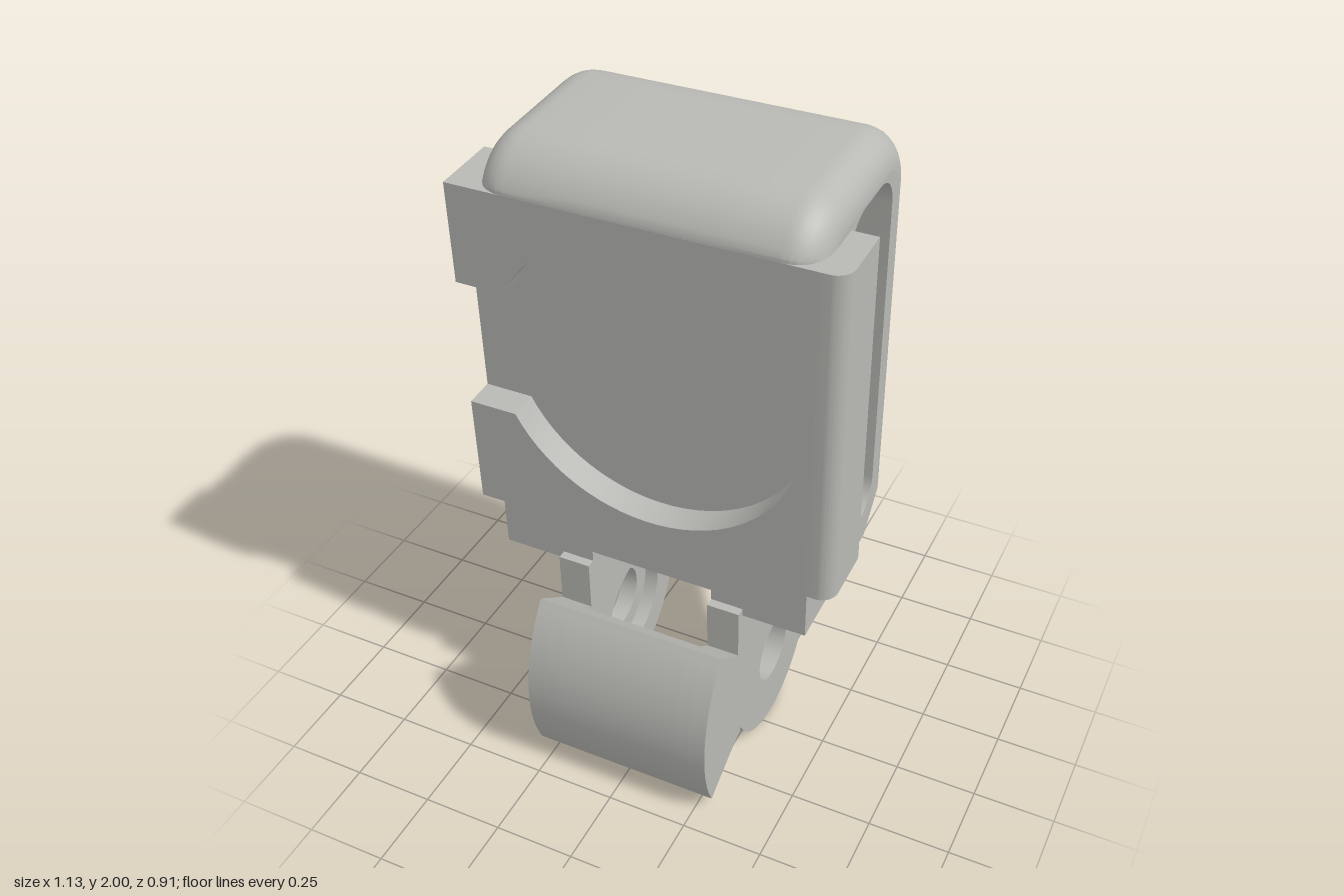
import * as THREE from 'three';
import { toCreasedNormals } from 'three/addons/utils/BufferGeometryUtils.js';

const V = (x, y) => new THREE.Vector2(x, y);
const grey = new THREE.MeshStandardMaterial({ color: 0xb8b8b4, side: THREE.DoubleSide });
grey.name = 'plain grey';

function add(group, name, geometry) {
  const mesh = new THREE.Mesh(toCreasedNormals(geometry, 0.5), grey);
  mesh.name = name;
  group.add(mesh);
  return mesh;
}

// Arc points in a (z, y) plane
function arc(cz, cy, r, a0, a1, n) {
  return Array.from({ length: n + 1 }, (_, i) => {
    const a = a0 + (a1 - a0) * i / n;
    return V(cz + r * Math.cos(a), cy + r * Math.sin(a));
  });
}

// Extrude a (z, y) shape along x, from x0 to x1
function extrudeX(shape, x0, x1) {
  const g = new THREE.ExtrudeGeometry(shape, { depth: x1 - x0, bevelEnabled: false, curveSegments: 48 });
  return g.rotateY(-Math.PI / 2).translate(x1, 0, 0);
}

// Skin between closed (z, y) rings placed at successive x positions
function loft(rings) {
  const pos = [], idx = [], n = rings[0].pts.length;
  rings.forEach(r => r.pts.forEach(p => pos.push(r.x, p.y, p.x)));
  for (let i = 0; i < rings.length - 1; i++) {
    for (let j = 0; j < n; j++) {
      const a = i * n + j, b = i * n + (j + 1) % n;
      idx.push(a, a + n, b + n, a, b + n, b);
    }
  }
  const g = new THREE.BufferGeometry();
  g.setAttribute('position', new THREE.Float32BufferAttribute(pos, 3));
  g.setIndex(idx);
  return g;
}

// Side profile of the housing; inset t rounds its ends, bottom b forms the groove
function profile(t, b) {
  const backZ = b > 0.65 ? -0.415 : -0.30, r = 0.19 - t, a0 = 0.44;
  return [
    V(0.05, b), V(0.05, 1.83), V(r * Math.cos(a0), 1.86),
    ...arc(0, 1.80, r, a0, Math.PI / 2, 10),
    ...arc(-0.30, 1.80, r, Math.PI / 2, Math.PI, 12),
    V(-0.49 + t, 0.74), V(backZ, b),
  ];
}

function slotRing() {
  const r = 0.1, f = -0.035 - r, k = -0.345 + r, lo = 0.735 + r, hi = 1.88 - r, q = Math.PI / 2;
  return [
    ...arc(f, hi, r, 0, q, 8), ...arc(k, hi, r, q, 2 * q, 8),
    ...arc(k, lo, r, 2 * q, 3 * q, 8), ...arc(f, lo, r, 3 * q, 4 * q, 8),
  ];
}

function buildHousing() {
  const g = new THREE.Group();
  g.name = 'housing';

  // Rounded shell with a groove under its middle
  const half = [{ x: 0.195, pts: profile(0, 0.70) }, { x: 0.195, pts: profile(0, 0.638) }];
  for (let i = 0; i <= 8; i++) {
    const a = i / 8 * Math.PI / 2;
    half.push({ x: 0.39 + 0.1 * Math.sin(a), pts: profile(0.1 * (1 - Math.cos(a)), 0.638) });
  }
  const mirrored = half.map(r => ({ x: -r.x, pts: r.pts })).reverse();
  add(g, 'shell', loft([...mirrored, ...half]));

  // Side walls with rounded slots
  const slot = slotRing();
  for (const s of [-1, 1]) {
    const wall = new THREE.Shape(profile(0.1, 0.638));
    wall.holes.push(new THREE.Path(slot));
    const face = (shape, x) => {
      const geo = new THREE.ShapeGeometry(shape).rotateY(-Math.PI / 2);
      if (s > 0) { // turn the face outward
        const ix = geo.index.array;
        for (let i = 0; i < ix.length; i += 3) [ix[i], ix[i + 1]] = [ix[i + 1], ix[i]];
        geo.computeVertexNormals();
      }
      return geo.translate(s * x, 0, 0);
    };
    add(g, 'sideWall', face(wall, 0.49));
    add(g, 'slotFloor', face(new THREE.Shape(slot), 0.2));
    const inner = [...slot].reverse();
    const ends = s > 0 ? [0.2, 0.49] : [-0.49, -0.2];
    add(g, 'slotLining', loft(ends.map(x => ({ x, pts: inner }))));
  }

  // Front plate: solid base, then a layer with a round pocket open to one side
  const lower = [V(-0.565, 0.794), V(-0.49, 0.794), V(-0.49, 0.638), V(-0.195, 0.638), V(-0.195, 0.70),
    V(0.195, 0.70), V(0.195, 0.638), V(0.49, 0.638), V(0.49, 1.87), V(-0.565, 1.87)];
  const d = Math.asin(0.205 / 0.465);
  const pocket = [V(-0.565, 1.56), ...arc(0, 1.355, 0.465, Math.PI - d, d - Math.PI, 64), V(-0.565, 1.15)];
  const plate = (pts, z0, z1) => new THREE.ExtrudeGeometry(new THREE.Shape(pts),
    { depth: z1 - z0, bevelEnabled: false }).translate(0, 0, z0);
  add(g, 'frontPlateBase', plate(lower, -0.035, 0.08));
  add(g, 'frontPlateRim', plate([...lower, ...pocket], 0.08, 0.172));

  // Flange with a rounded front edge on the left
  const f = new THREE.Shape();
  f.moveTo(0.48, 0.035);
  f.lineTo(0.48, -0.172);
  f.lineTo(0.515, -0.172);
  f.absarc(0.515, -0.122, 0.05, -Math.PI / 2, 0, false);
  f.lineTo(0.565, 0.035);
  const flange = new THREE.ExtrudeGeometry(f, { depth: 1.076, bevelEnabled: false, curveSegments: 8 });
  add(g, 'leftFlange', flange.rotateX(-Math.PI / 2).translate(0, 0.794, 0));

  g.rotation.x = 0.045;
  return g;
}

function buildHinge() {
  const g = new THREE.Group();
  g.name = 'hinge';
  const cz = -0.055, cy = 0.275, low = -0.477, high = 0.653;

  // Lug outline with a round hole
  const lug = hole => {
    const s = new THREE.Shape([
      V(0.23, 0.655), V(-0.165, 0.655), V(-0.32, 0.49),
      ...arc(cz, cy, 0.272, Math.PI, 2 * Math.PI + low, 28),
      ...arc(cz, cy, 0.51, low, high, 20),
      V(0.225, 0.49),
    ]);
    s.holes.push(new THREE.Path(arc(cz, cy, hole, 0, Math.PI * 2, 40).slice(0, -1).reverse()));
    return s;
  };
  // Each lug has a wider recess on its inner side
  for (const s of [-1, 1]) {
    const layer = (name, hole, a, b) =>
      add(g, name, extrudeX(lug(hole), s > 0 ? a : -b, s > 0 ? b : -a));
    layer('lugOuter', 0.105, 0.24, 0.295);
    layer('lugInner', 0.17, 0.195, 0.24);
  }

  // Curved shield joining the lugs
  const shield = new THREE.Shape([
    ...arc(cz, cy, 0.51, low, high, 20), ...arc(cz, cy, 0.41, high, low, 20)]);
  add(g, 'shield', extrudeX(shield, -0.195, 0.195));
  return g;
}

export function createModel() {
  const model = new THREE.Group();
  model.name = 'hingedHolder';
  model.add(buildHousing(), buildHinge());
  return model;
}
